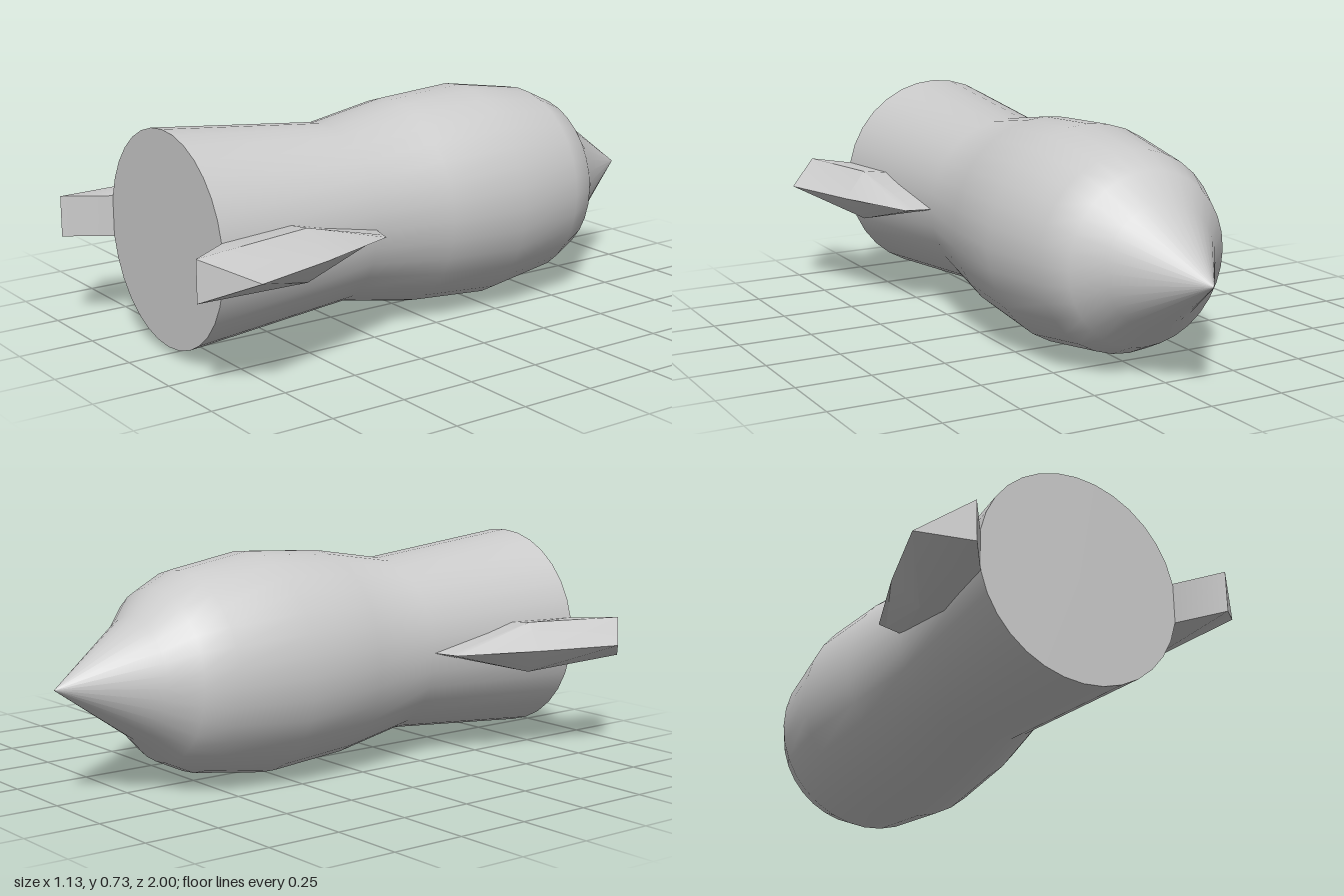
import * as THREE from 'three';
import { toCreasedNormals } from 'three/addons/utils/BufferGeometryUtils.js';

const material = new THREE.MeshStandardMaterial({ color: 0xcccccc });
const SIDES = 32;
const TAIL_Z = 0.86, TAIL_R = 0.348;
// The centre line rises very slightly towards the tail.
const axisY = z => 0.3665 + 0.006 * z;

function addMesh(parent, name, geometry) {
  const mesh = new THREE.Mesh(geometry, material);
  mesh.name = name;
  parent.add(mesh);
}

// Hull: profile of [radius, z] from nose tip to tail rim, turned to lie along z.
function hullGeometry() {
  const profile = [[0, -1], [0.195, -0.72], [0.277, -0.64], [0.324, -0.54],
    [0.363, -0.28], [0.343, 0], [0.295, 0.27], [TAIL_R, TAIL_Z]];
  const geometry = new THREE.LatheGeometry(profile.map(p => new THREE.Vector2(...p)), SIDES);
  geometry.rotateX(Math.PI / 2);
  const pos = geometry.attributes.position;
  for (let i = 0; i < pos.count; i++) pos.setY(i, pos.getY(i) + axisY(pos.getZ(i)));
  return geometry;
}

// Fin: three cross-sections, each a sharp outer edge, a ridge and a root at the hull.
function finGeometry(side) {
  // [outer x, outer z, ridge x, ridge z, ridge half height, root x, root z, root half height]
  const sections = [
    [0.38, 0.295, 0.35, 0.287, 0, 0.28, 0.268, 0],
    [0.48, 0.57, 0.40, 0.60, 0.085, 0.29, 0.60, 0.07],
    [0.565, 0.86, 0.435, 1.0, 0.067, 0.342, 0.86, 0.067],
  ];
  const y = 0.373, verts = [], index = [];
  for (const [ox, oz, rx, rz, rh, ix, iz, ih] of sections) {
    for (const [px, py, pz] of [[ox, 0, oz], [rx, rh, rz], [ix, ih, iz], [ix, -ih, iz], [rx, -rh, rz]]) {
      verts.push(side * px, y + py, pz);
    }
  }
  const tri = (a, b, c) => (side > 0 ? index.push(a, b, c) : index.push(a, c, b));
  for (let s = 0; s < 2; s++) {
    for (let j = 0; j < 5; j++) {
      const a = s * 5 + j, b = s * 5 + (j + 1) % 5;
      tri(a, b, b + 5);
      tri(a, b + 5, a + 5);
    }
  }
  // Trailing faces, swept from the upright rear edge to tip and root
  tri(10, 11, 14);
  tri(11, 12, 13);
  tri(11, 13, 14);
  const geometry = new THREE.BufferGeometry();
  geometry.setAttribute('position', new THREE.Float32BufferAttribute(verts, 3));
  geometry.setIndex(index);
  return toCreasedNormals(geometry, 0.7);
}

export function createModel() {
  const model = new THREE.Group();
  model.name = 'rocket';
  addMesh(model, 'hull', hullGeometry());

  // Flat disc closing the tail
  const tail = new THREE.CircleGeometry(TAIL_R, SIDES);
  tail.translate(0, axisY(TAIL_Z), TAIL_Z);
  addMesh(model, 'tailDisc', tail);

  addMesh(model, 'leftFin', finGeometry(1));
  addMesh(model, 'rightFin', finGeometry(-1));
  return model;
}
